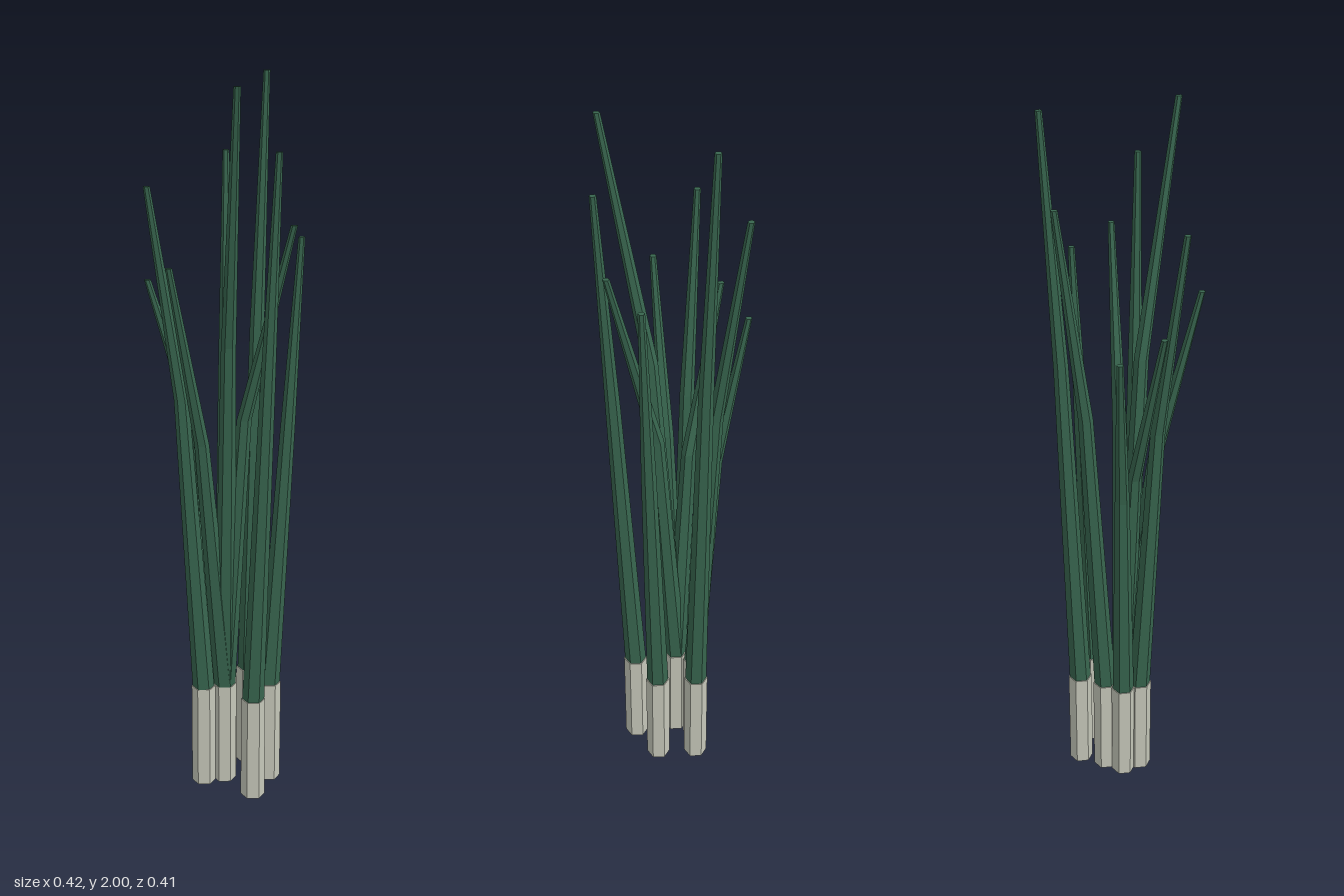
import * as THREE from 'three';

const SIDES = 6, JOIN = 0.305;

// Each stalk: root position and its leaves as [tip x, tip y, tip z, share of the lean reached at the bend]
const STALKS = [
  { root: [0.01, -0.122], leaves: [[0.015, 2.0, -0.198, 0.48]] },
  { root: [0.107, -0.066], leaves: [[0.168, 1.59, -0.108, 0.6]] },
  { root: [0.115, 0.046], leaves: [[0.19, 1.83, 0.07, 0.58]] },
  { root: [-0.03, -0.054], leaves: [[-0.096, 1.79, -0.178, 0.4]] },
  { root: [-0.045, 0.046], leaves: [[-0.152, 1.73, 0.138, 0.4]] },
  { root: [-0.064, -0.005], leaves: [[-0.202, 1.42, -0.034, 0.38]] },
  {
    root: [0, 0.004],
    leaves: [
      [0.2, 1.64, 0.002, 0.3],
      [0.121, 1.99, 0.161, 0.35],
      [-0.054, 1.54, 0.197, 0.43],
      [-0.19, 1.475, 0.079, 0.3],
    ],
  },
];

// Tapered six-sided tube through horizontal rings [x, y, z, radius], closed at the tip
function taperedTube(rings) {
  const positions = [], index = [];
  for (const [x, y, z, r] of rings) {
    for (let i = 0; i < SIDES; i++) {
      const a = (i / SIDES) * Math.PI * 2;
      positions.push(x + Math.sin(a) * r, y, z + Math.cos(a) * r);
    }
  }
  for (let k = 0; k < rings.length - 1; k++) {
    for (let i = 0; i < SIDES; i++) {
      const j = (i + 1) % SIDES, lo = k * SIDES, hi = lo + SIDES;
      index.push(lo + i, lo + j, hi + j, lo + i, hi + j, hi + i);
    }
  }
  const top = (rings.length - 1) * SIDES;
  for (let i = 1; i < SIDES - 1; i++) index.push(top, top + i, top + i + 1);
  const geometry = new THREE.BufferGeometry();
  geometry.setAttribute('position', new THREE.Float32BufferAttribute(positions, 3));
  geometry.setIndex(index);
  const flat = geometry.toNonIndexed();
  flat.computeVertexNormals();
  return flat;
}

export function createModel() {
  const model = new THREE.Group();
  model.name = 'leafBunch';

  const paleStem = new THREE.MeshStandardMaterial({ color: 0xc6c8ba, flatShading: true });
  paleStem.name = 'paleStem';
  const leafGreen = new THREE.MeshStandardMaterial({ color: 0x38664f, flatShading: true });
  leafGreen.name = 'leafGreen';

  // Pale hexagonal stem shared by every stalk
  const stemGeometry = new THREE.CylinderGeometry(0.034, 0.034, JOIN, SIDES);
  stemGeometry.translate(0, JOIN / 2, 0);

  STALKS.forEach(({ root: [x, z], leaves }) => {
    const stalk = new THREE.Group();
    stalk.name = 'stalk';

    const stem = new THREE.Mesh(stemGeometry, paleStem);
    stem.name = 'stem';
    stem.position.set(x, 0, z);
    stalk.add(stem);

    // Green leaves rise from the stem and lean outward above a bend
    for (const [tx, ty, tz, lean] of leaves) {
      const bend = [x + (tx - x) * lean, JOIN + (ty - JOIN) * 0.6, z + (tz - z) * lean];
      const leaf = new THREE.Mesh(
        taperedTube([[x, JOIN - 0.005, z, 0.031], [...bend, 0.02], [tx, ty, tz, 0.009]]),
        leafGreen
      );
      leaf.name = 'leaf';
      stalk.add(leaf);
    }
    model.add(stalk);
  });
  return model;
}
